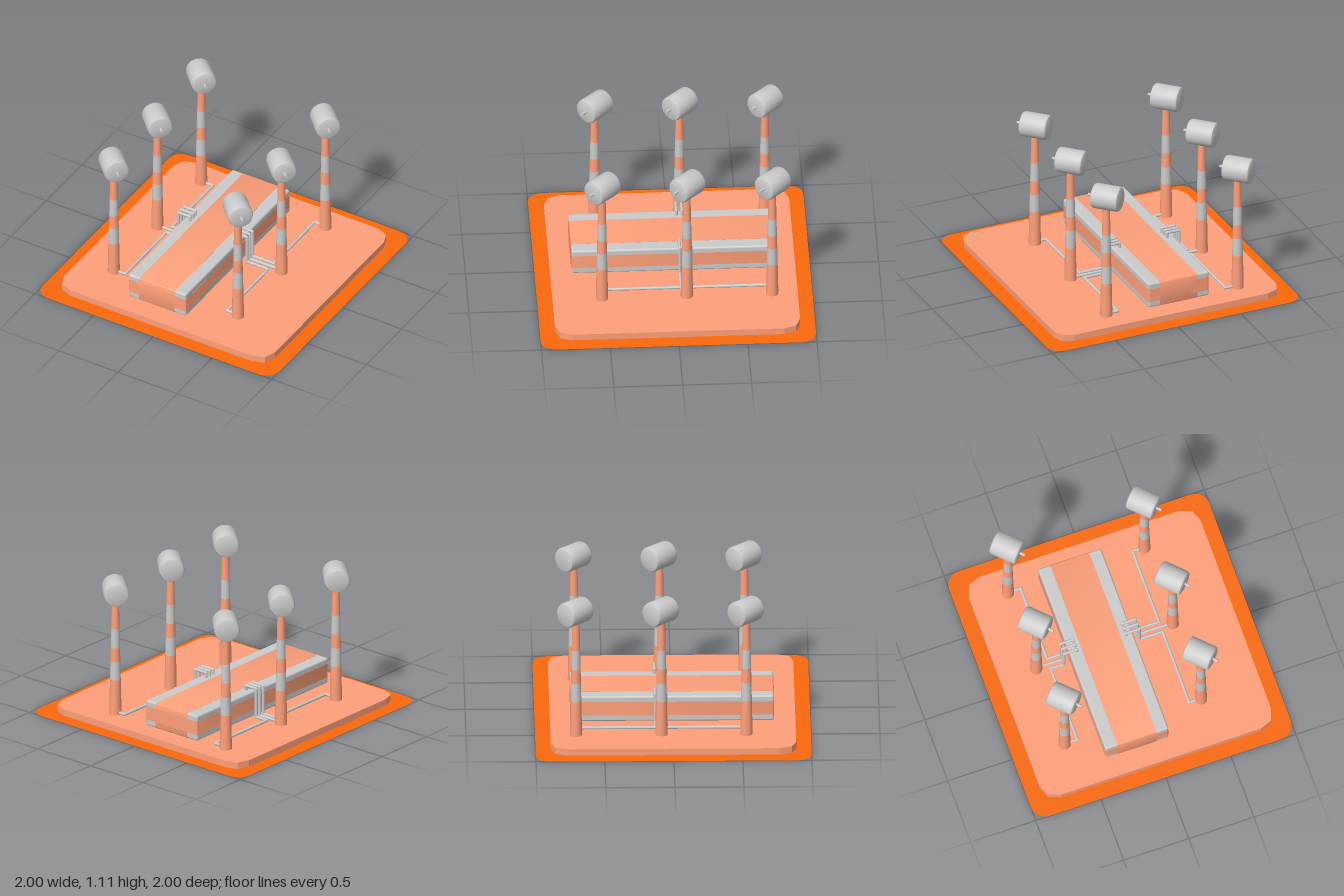
import * as THREE from 'three';
import { toCreasedNormals } from 'three/addons/utils/BufferGeometryUtils.js';
import { RoundedBoxGeometry } from 'three/addons/geometries/RoundedBoxGeometry.js';

const grey = new THREE.MeshStandardMaterial({ color: 0xcccccc });
const salmon = new THREE.MeshStandardMaterial({ color: 0xffa07a });
const orange = new THREE.MeshStandardMaterial({ color: 0xfa690c, side: THREE.DoubleSide });

function add(parent, name, geometry, material, x = 0, y = 0, z = 0) {
  const mesh = new THREE.Mesh(geometry, material);
  mesh.name = name;
  mesh.position.set(x, y, z);
  parent.add(mesh);
  return mesh;
}

// Square outline with each corner cut through one middle point
function cutSquare(half, cut, mid) {
  const pts = [];
  const corner = [[half, half - cut], [mid, mid], [half - cut, half]];
  for (let i = 0; i < 4; i++) {
    const c = Math.round(Math.cos(i * Math.PI / 2)), s = Math.round(Math.sin(i * Math.PI / 2));
    corner.forEach(([x, y]) => pts.push(new THREE.Vector2(c * x - s * y, s * x + c * y)));
  }
  return new THREE.Shape(pts);
}

function roundedRect(w, h, r) {
  const s = new THREE.Shape();
  s.absarc(w / 2 - r, h / 2 - r, r, 0, Math.PI / 2);
  s.absarc(-w / 2 + r, h / 2 - r, r, Math.PI / 2, Math.PI);
  s.absarc(-w / 2 + r, -h / 2 + r, r, Math.PI, Math.PI * 1.5);
  s.absarc(w / 2 - r, -h / 2 + r, r, Math.PI * 1.5, Math.PI * 2);
  return s;
}

function prism(shape, depth) {
  const g = new THREE.ExtrudeGeometry(shape, { depth, bevelEnabled: false, curveSegments: 4 });
  return g.translate(0, 0, -depth / 2);
}

// Pipe run of straight pieces with elbows at the bends
function pipe(parent, name, points) {
  const run = new THREE.Group();
  run.name = name;
  const r = 0.011, up = new THREE.Vector3(0, 1, 0);
  const pts = points.map(p => new THREE.Vector3(...p));
  for (let i = 1; i < pts.length; i++) {
    const dir = pts[i].clone().sub(pts[i - 1]);
    const mid = pts[i].clone().add(pts[i - 1]).multiplyScalar(0.5);
    const piece = add(run, 'pipePiece', new THREE.CylinderGeometry(r, r, dir.length(), 10), grey, mid.x, mid.y, mid.z);
    piece.quaternion.setFromUnitVectors(up, dir.normalize());
    if (i < pts.length - 1) add(run, 'elbow', new THREE.SphereGeometry(r, 10, 8), grey, ...points[i]);
  }
  parent.add(run);
}

// Banded tapering tower carrying a drum turned 45 degrees
function tower(x, z) {
  const g = new THREE.Group();
  g.name = 'tower';
  g.position.set(x, 0, z);
  const levels = [0.05, 0.32, 0.46, 0.57, 0.715, 0.95];
  const radius = y => 0.045 - (y - 0.05) * 0.021;
  for (let i = 0; i < 5; i++) {
    const a = levels[i], b = levels[i + 1];
    add(g, 'towerBand', new THREE.CylinderGeometry(radius(b), radius(a), b - a, 16, 1, true),
      i % 2 ? grey : salmon, 0, (a + b) / 2, 0);
  }
  const head = new THREE.Group();
  head.name = 'head';
  head.position.set(-0.005, 1.015, -0.005);
  head.rotation.y = Math.PI / 4;
  const profile = [[0, -0.105], [0.076, -0.105], [0.087, -0.1], [0.093, -0.085],
    [0.093, 0.085], [0.087, 0.1], [0.076, 0.105], [0, 0.105]].map(p => new THREE.Vector2(...p));
  const drum = toCreasedNormals(new THREE.LatheGeometry(profile, 28), 0.7).rotateX(Math.PI / 2);
  add(head, 'drum', drum, grey);
  const shaft = new THREE.CylinderGeometry(0.011, 0.011, 0.05, 10).rotateX(Math.PI / 2);
  add(head, 'shaft', shaft, grey, 0, 0, 0.12);
  g.add(head);
  return g;
}

export function createModel() {
  const model = new THREE.Group();
  model.name = 'towerStation';

  // Flat ground and raised slab
  add(model, 'ground', new THREE.ShapeGeometry(roundedRect(2, 2, 0.11), 4).rotateX(-Math.PI / 2), orange);
  add(model, 'slab', prism(cutSquare(0.89, 0.12, 0.857), 0.05).rotateX(-Math.PI / 2), salmon, 0, 0.026, 0);

  // Long housing: grey body wrapped by two salmon bands
  const w = 0.485, h = 0.195, d = 1.475, e = 0.002, r = 0.014;
  const housing = new THREE.Group();
  housing.name = 'housing';
  housing.position.set(-0.127, 0.15, -0.003);
  add(housing, 'housingBody', new RoundedBoxGeometry(w, h, d, 3, r), grey);
  const topBand = prism(roundedRect(d + e, h + e, r), 0.3).rotateY(Math.PI / 2);
  add(housing, 'topBand', toCreasedNormals(topBand, 0.7), salmon);
  const sideBand = prism(roundedRect(w + e, d + e, r), 0.105).rotateX(Math.PI / 2);
  add(housing, 'sideBand', toCreasedNormals(sideBand, 0.7), salmon, 0, 0.002, 0);
  model.add(housing);

  // Towers in two rows, each joined to the housing by a pipe
  const rows = [-0.705, -0.085, 0.531];
  const sides = [
    { column: -0.613, inner: -0.315, outer: -0.413, long: -0.515 },
    { column: 0.435, inner: 0.062, outer: 0.165, long: 0.345 },
  ];
  for (const s of sides) {
    rows.forEach((z, i) => {
      model.add(tower(s.column, z));
      const pz = -0.088 + (i - 1) * 0.04;
      const points = [[s.inner, 0.23, pz], [s.inner, 0.285, pz], [s.outer, 0.285, pz], [s.outer, 0.064, pz]];
      if (i !== 1) points.push([s.long, 0.064, pz], [s.long, 0.064, z]);
      points.push([s.column, 0.064, i === 1 ? pz : z]);
      pipe(model, 'pipe', points);
    });
  }
  return model;
}
